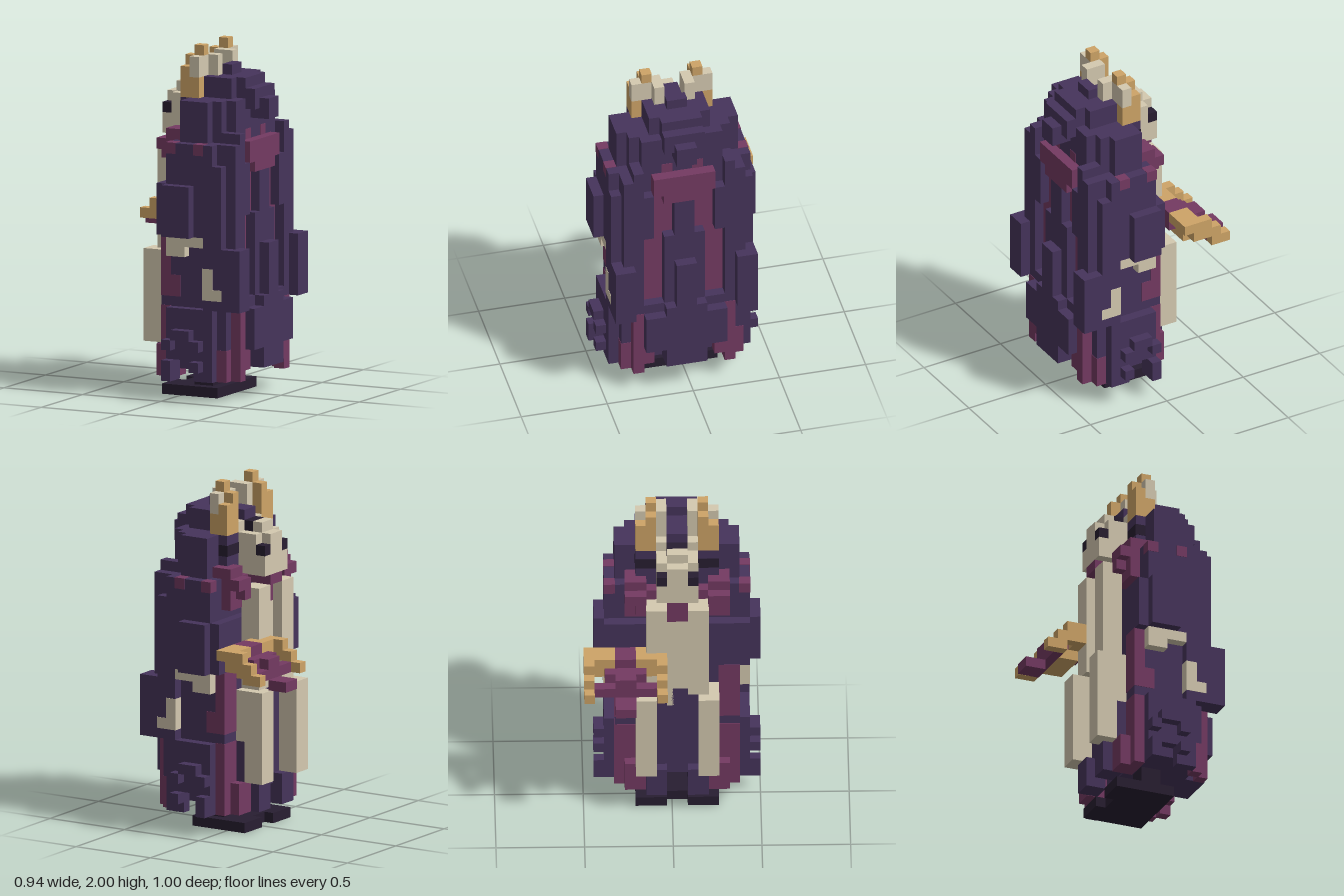
import * as THREE from 'three';
import { mergeGeometries } from 'three/addons/utils/BufferGeometryUtils.js';

// One block of the grid; the figure looks toward -x and is mirrored about z = V / 2
const V = 2 / 34;

const paint = (name, color) => {
  const m = new THREE.MeshStandardMaterial({ color });
  m.name = name;
  return m;
};

export function createModel() {
  const purple = paint('robe purple', 0x46345b);
  const plum = paint('trim plum', 0x743a62);
  const cream = paint('skin and beard cream', 0xd4c9b0);
  const gold = paint('gold', 0xcea467);
  const dark = paint('dark', 0x281e31);
  const model = new THREE.Group();

  // Box between block coordinates: x0, x1, y0, y1, w0, w1 (w is depth from the middle)
  const block = ([x0, x1, y0, y1, w0, w1], grow) => {
    const g = new THREE.BoxGeometry(
      (x1 - x0 + grow) * V, (y1 - y0 + grow) * V, (w1 - w0 + grow) * V);
    return g.translate((x0 + x1) / 2 * V, (y0 + y1) / 2 * V, ((w0 + w1) / 2 + 0.5) * V);
  };

  // Merges boxes into one named part; mirror adds the other side, grow lifts trim off the cloth
  const part = (name, material, boxes, { mirror = false, grow = 0 } = {}) => {
    const geos = [];
    for (const b of boxes) {
      geos.push(block(b, grow));
      if (mirror) geos.push(block([b[0], b[1], b[2], b[3], -b[5], -b[4]], grow));
    }
    const mesh = new THREE.Mesh(mergeGeometries(geos), material);
    mesh.name = name;
    model.add(mesh);
  };
  const both = { mirror: true };
  const trim = { mirror: true, grow: 0.08 };

  // Feet
  part('footPlate', dark, [[-1, 4, 0, 1, -4, 4], [-2, -1, 0, 1, -4, -1], [-2, -1, 0, 1, 1, 4]]);
  part('legs', dark, [[1, 3, 1, 4, 1, 3]], both);

  // Robe body, shoulders and hood
  part('robe', purple, [
    [-1, 6, 4, 21, -5, 5],
    [0, 6, 21, 25, -5, 5],
    [0, 6, 3, 25, -6, 6],
    [0, 6, 25, 26, -5, 5],
    [1, 5, 25, 29, -5, 5],
    [1, 4, 25, 29, -6, 6],
    [0, 6, 26, 29, -4, 4],
  ]);
  part('hood', purple, [
    [3, 7, 28, 30, -2, 2],
    [3, 6, 29, 31, -2, 2],
    [2, 5, 29, 31, -3, 3],
    [0, 2, 29, 31, -1, 1],
    [3, 4, 31, 32, -1, 1],
    [6, 8, 27, 29, -1, 1],
  ]);

  // Sleeves, with cloth folds along the sides
  part('sleeves', purple, [
    [0, 5, 16, 25, 5, 7],
    [-1, 0, 16, 21, 4, 7],
    [0, 3, 16, 21, 7, 8],
    [4, 6, 15, 23, 6, 7],
  ], both);
  part('sideFolds', purple, [
    [4, 6, 9, 15, 5, 7],
    [4, 5, 7, 9, 5, 7],
    [0, 4, 4, 9, 6, 7],
    [1, 3, 6, 7, 7, 8],
    [0, 1, 5, 6, 7, 8],
    [3, 4, 5, 6, 7, 8],
    [0, 1, 2, 4, 7, 8],
    [3, 4, 3, 4, 7, 8],
    [0, 1, 2, 5, 6, 7],
    [3, 5, 2, 7, 6, 7],
  ], both);

  // Back of the cape: raised panels with recessed stripes between them
  part('capePanels', purple, [
    [6, 7, 4, 23, -1, 1],
    [6, 8, 3, 15, -1, 1],
    [6, 7, 10, 18, 1, 2],
    [6, 8, 3, 10, 1, 2],
    [6, 7, 5, 10, 2, 4],
    [6, 8, 5, 9, 2, 4],
    [6, 7, 9, 26, 4, 5],
    [6, 7, 18, 23, 3, 4],
    [5, 7, 9, 25, 5, 6],
    [5, 6, 5, 9, 5, 6],
    [6, 8, 9, 15, 5, 7],
  ], both);
  part('capeStripes', plum, [
    [5, 6, 18, 23, 1, 3],
    [5, 6, 10, 18, 2, 4],
  ], trim);
  part('capeBand', plum, [
    [5, 7, 23, 25, -3, 3],
    [5, 7, 22, 23, -2, 2],
  ], { grow: 0.08 });
  part('capeBandTips', plum, [[5, 6, 25, 26, 1, 2]], trim);
  part('backHem', plum, [
    [6, 7, 2, 9, 4, 5],
    [5, 6, 2, 5, 5, 6],
    [6, 7, 3, 5, 3, 4],
  ], trim);

  // Front hem and plum lining
  part('frontLining', plum, [
    [-1, 0, 10, 16, 4, 6],
    [0, 1, 10, 12, 5, 6],
    [-1, 0, 2, 9, 3, 6],
    [-2, 0, 2, 5, 3, 5],
  ], trim);
  part('frontPanel', purple, [
    [-2, -1, 4, 14, -2, 2],
    [-2, -1, 5, 9, 2, 4],
    [-3, -1, 2, 5, 1, 3],
    [-1, 0, 9, 10, 4, 6],
  ], both);
  part('collar', plum, [
    [-1, 0, 22, 25, 2, 5],
    [-2, 1, 24, 25, 3, 5],
    [-2, 0, 23, 24, 3, 4],
    [-1, 1, 25, 26, 3, 5],
  ], trim);
  part('scarf', plum, [[-3, 0, 24, 25, -1, 1], [-2, -1, 22, 24, -1, 1]]);
  part('shoulderSpots', plum, [
    [0, 1, 24, 25, 6, 7],
    [3, 4, 24, 25, 6, 7],
  ], trim);

  // Face, brow and eyes
  part('face', cream, [
    [-2, 0, 25, 29, -2, 2],
    [-3, -1, 25, 29, -1, 1],
    [-3, -2, 25, 27, -2, 2],
    [-2, -1, 29, 30, -1, 1],
  ]);
  part('eyes', dark, [[-3, -2, 27, 28, 1, 2]], both);
  part('forehead', dark, [[-1, 0, 29, 30, -1, 1]]);
  part('temples', dark, [[0, 1, 27, 28, 2, 4]], trim);

  // Beard with two long strands
  part('beard', cream, [
    [-3, -1, 14, 24, 1, 3],
    [-2, -1, 12, 22, 0, 1],
    [-3, -2, 5, 14, 2, 4],
    [-2, -1, 9, 14, 2, 4],
    [-4, -3, 5, 14, 2, 4],
  ], both);

  // Horns
  part('hornBases', cream, [
    [0, 3, 29, 30, 1, 2],
    [1, 3, 30, 33, 1, 2],
    [1, 2, 31, 33, 2, 4],
  ], both);
  part('horns', gold, [
    [0, 1, 29, 32, 3, 4],
    [0, 1, 29, 33, 2, 3],
    [1, 2, 29, 31, 2, 4],
    [1, 2, 33, 34, 2, 3],
  ], both);

  // Hands and cuffs
  part('hands', cream, [
    [0, 4, 15, 16, 5, 7],
    [0, 2, 14, 15, 5, 7],
  ], both);
  part('sleevePatches', cream, [
    [4, 5, 11, 13, 6, 7],
    [4, 6, 10, 11, 6, 7],
  ], trim);

  // Open claw of gold around a plum tongue, held out to the front
  part('clawGold', gold, [
    [-4, -2, 18, 19, -8, -6],
    [-4, -2, 18, 19, -4, -3],
    [-4, -3, 18, 19, -3, -2],
    [-4, -3, 17, 18, -8, -6],
    [-4, -3, 17, 18, -4, -2],
    [-5, -3, 16, 17, -7, -3],
    ...[[-9, -8], [-2, -1]].flatMap(([a, b]) => [
      [-5, -3, 18, 19, a, b],
      [-6, -3, 17, 18, a, b],
      [-7, -5, 16, 17, a, b],
    ]),
    [-3, -2, 18, 19, -9, -8],
  ]);
  part('clawPlum', plum, [
    [-4, -2, 17, 19, -6, -4],
    [-6, -4, 17, 18, -6, -4],
    [-6, -5, 16, 17, -6, -4],
    [-8, -6, 15, 16, -6, -4],
    [-5, -4, 17, 18, -7, -3],
    [-6, -5, 16, 17, -8, -6],
    [-6, -5, 16, 17, -4, -2],
  ]);

  return model;
}
